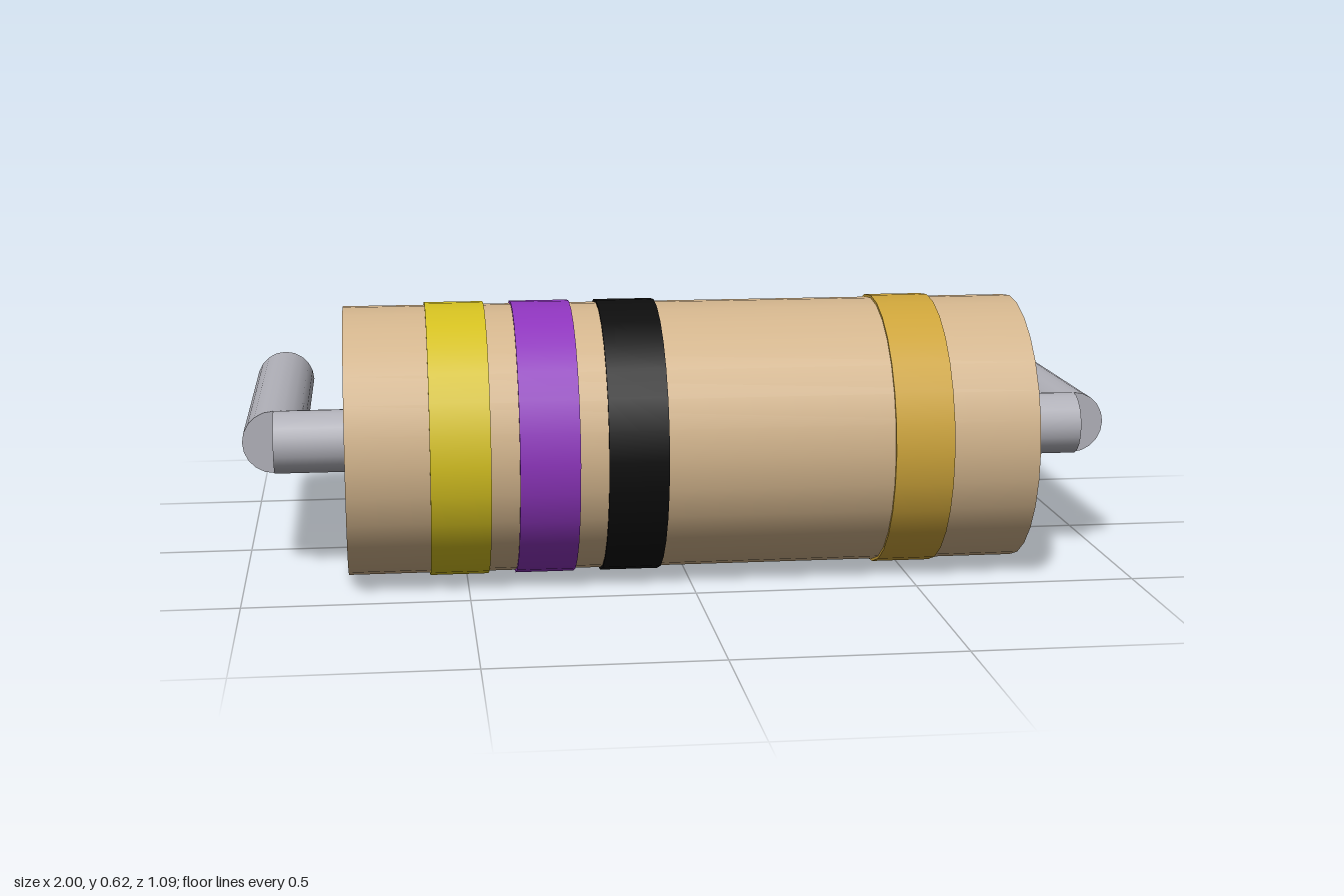
import * as THREE from 'three';

const AXIS_Y = 0.311, AXIS_Z = 0.235; // centre line of the body
const BODY_R = 0.305, BAND_R = 0.311, WIRE_R = 0.0715;
const BODY_HALF = 0.767, BAND_W = 0.132;

function material(name, color) {
  const m = new THREE.MeshStandardMaterial({ color });
  m.name = name;
  return m;
}

// Cylinder lying along x, centred at x on the body's axis
function rodX(name, radius, length, x, sides, mat) {
  const geo = new THREE.CylinderGeometry(radius, radius, length, sides);
  geo.rotateZ(Math.PI / 2);
  const mesh = new THREE.Mesh(geo, mat);
  mesh.name = name;
  mesh.position.set(x, AXIS_Y, AXIS_Z);
  return mesh;
}

export function createModel() {
  const model = new THREE.Group();
  model.name = 'resistor';

  const tan = material('tan ceramic', 0xd2b48c);
  const metal = material('grey metal', 0xb0b0b8);

  // Body
  model.add(rodX('body', BODY_R, BODY_HALF * 2, 0, 28, tan));

  // Colour bands, slightly proud of the body
  const bands = [
    ['yellowBand', -0.518, material('yellow', 0xd4c020)],
    ['violetBand', -0.324, material('violet', 0x8e35bd)],
    ['blackBand', -0.13, material('black', 0x0d0d0d)],
    ['goldBand', 0.505, material('gold', 0xcda43a)],
  ];
  for (const [name, x, mat] of bands) {
    model.add(rodX(name, BAND_R, BAND_W, x, 28, mat));
  }

  // Bent wire leads, mirrored at both ends
  const elbowX = 1 - WIRE_R, backZ = -0.546, legLength = AXIS_Z - backZ;
  for (const [side, s] of [['left', 1], ['right', -1]]) {
    const lead = new THREE.Group();
    lead.name = side + 'Lead';
    const inner = BODY_HALF - 0.05;
    lead.add(rodX('leadStub', WIRE_R, elbowX - inner, s * (elbowX + inner) / 2, 20, metal));

    const legGeo = new THREE.CylinderGeometry(WIRE_R, WIRE_R, legLength, 20);
    legGeo.rotateX(Math.PI / 2);
    const leg = new THREE.Mesh(legGeo, metal);
    leg.name = 'leadLeg';
    leg.position.set(s * elbowX, AXIS_Y, (AXIS_Z + backZ) / 2);
    lead.add(leg);
    model.add(lead);
  }
  return model;
}
